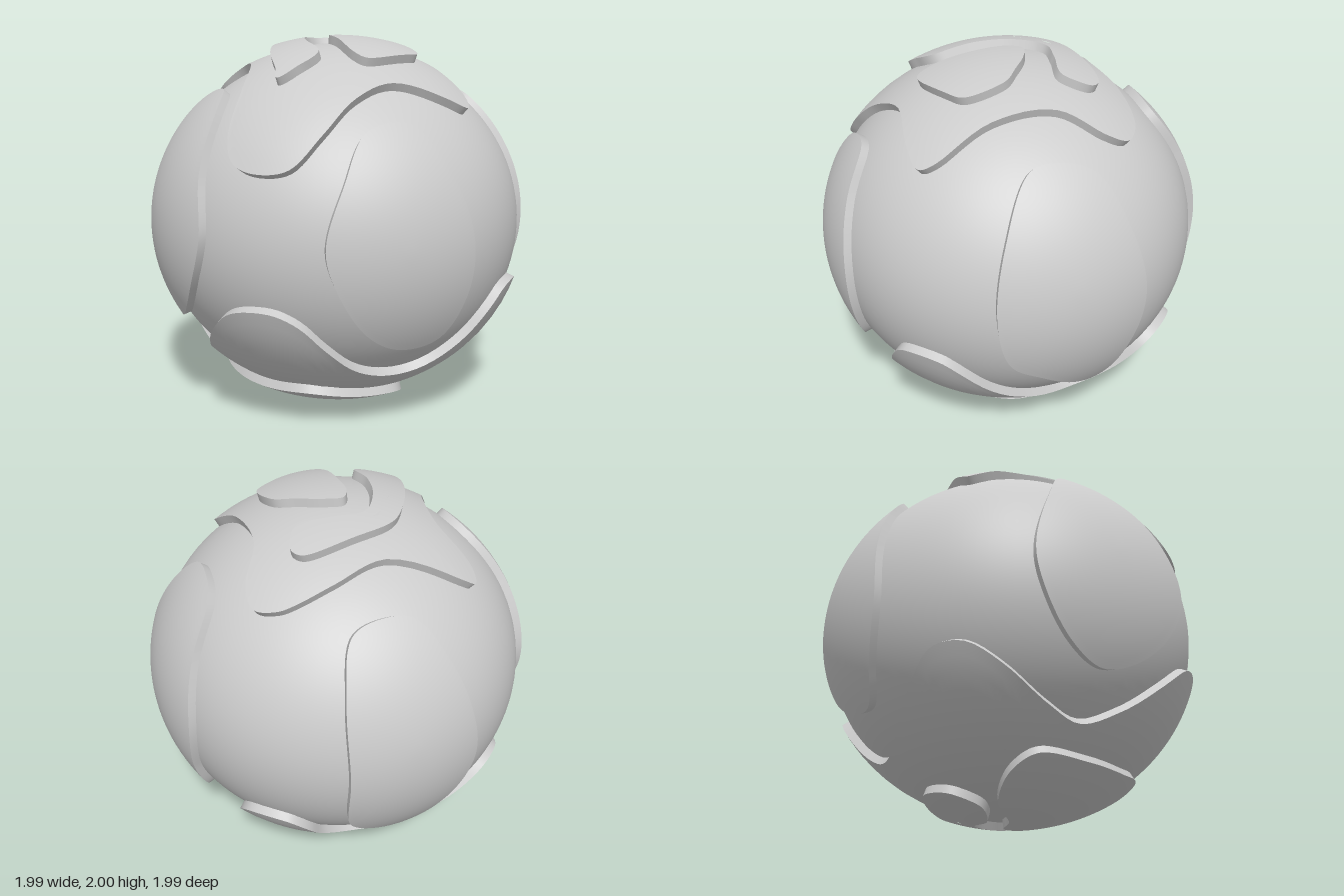
import * as THREE from 'three';
import { mergeGeometries, mergeVertices } from 'three/addons/utils/BufferGeometryUtils.js';

const material = new THREE.MeshStandardMaterial({ color: 0xcccccc });
const V = (x, y, z) => new THREE.Vector3(x, y, z);

// slightly flattened ball: radius along a unit direction
const radius = (d) => 0.99 - 0.08 * d.y * d.y;
const onBall = (d, lift) => d.clone().multiplyScalar(radius(d) + lift);

// unit directions from (azimuth in degrees from +z towards +x, height above the ground)
const polar = (list) => list.map(([a, h]) => {
  const t = THREE.MathUtils.degToRad(a), y = h - 1, c = Math.sqrt(1 - y * y);
  return V(Math.sin(t) * c, y, Math.cos(t) * c);
});
// unit directions from a plan outline (x, z), on the upper or lower half
const plan = (list, side) => list.map(([x, z]) => V(x, side * Math.sqrt(1 - x * x - z * z), z));

function gridGeometry(rows) {
  // rows of closed loops, joined by quads
  const n = rows[0].length, pos = [], index = [];
  rows.forEach((row) => row.forEach((p) => pos.push(p.x, p.y, p.z)));
  for (let j = 0; j + 1 < rows.length; j++) {
    for (let i = 0; i < n; i++) {
      const k = (i + 1) % n, a = j * n + i, b = j * n + k;
      index.push(a, a + n, b + n, a, b + n, b);
    }
  }
  const g = new THREE.BufferGeometry();
  g.setAttribute('position', new THREE.Float32BufferAttribute(pos, 3));
  g.setIndex(index);
  const merged = mergeVertices(g, 1e-5);
  merged.computeVertexNormals();
  return merged;
}

function nearestOn(spine, p) {
  let best = spine[0];
  for (let i = 0; i + 1 < spine.length; i++) {
    const q = new THREE.Line3(spine[i], spine[i + 1]).closestPointToPoint(p, true, V(0, 0, 0));
    if (i === 0 || q.distanceTo(p) < best.distanceTo(p)) best = q;
  }
  return best;
}

// raised plate: outline filled from its spine, with steep side walls
function plate(name, outline, spine, low, high) {
  const N = 144, M = 14;
  const curve = new THREE.CatmullRomCurve3(outline, true, 'centripetal');
  let edge = [];
  for (let i = 0; i < N; i++) edge.push(curve.getPoint(i / N).normalize());
  const turn = V(0, 0, 0);
  edge.forEach((p, i) => turn.add(p.clone().cross(edge[(i + 1) % N])));
  if (turn.dot(spine[0]) < 0) edge.reverse();

  const roots = edge.map((p) => nearestOn(spine, p));
  const rim = edge.map((p, i) => p.clone().add(roots[i].clone().sub(p).setLength(0.012)).normalize());
  const rows = [];
  for (let j = 0; j <= M; j++) {
    rows.push(rim.map((p, i) => onBall(roots[i].clone().lerp(p, j / M).normalize(), high)));
  }
  const wall = [rows[M], edge.map((p) => onBall(p, low))];
  const mesh = new THREE.Mesh(mergeGeometries([gridGeometry(rows), gridGeometry(wall)]), material);
  mesh.name = name;
  return mesh;
}

export function createModel() {
  const group = new THREE.Group();
  group.name = 'platedBall';

  // core ball
  let ball = new THREE.SphereGeometry(1, 96, 64);
  ball.deleteAttribute('uv');
  ball.deleteAttribute('normal');
  const p = ball.attributes.position;
  for (let i = 0; i < p.count; i++) {
    const d = onBall(V(0, 0, 0).fromBufferAttribute(p, i).normalize(), 0);
    p.setXYZ(i, d.x, d.y, d.z);
  }
  ball = mergeVertices(ball, 1e-5);
  ball.computeVertexNormals();
  const core = new THREE.Mesh(ball, material);
  core.name = 'core';
  group.add(core);

  // four-lobed caps
  const topCap = plan([
    [0.10, -0.72], [-0.02, -0.71], [-0.10, -0.665], [-0.235, -0.53], [-0.40, -0.29], [-0.72, -0.06],
    [-0.76, 0], [-0.72, 0.07], [-0.50, 0.18], [-0.34, 0.39], [-0.235, 0.64], [-0.17, 0.85],
    [-0.10, 0.91], [0.03, 0.93], [0.19, 0.9], [0.30, 0.78], [0.38, 0.59], [0.49, 0.38],
    [0.70, 0.18], [0.77, 0.07], [0.74, -0.01], [0.51, -0.18], [0.27, -0.42], [0.19, -0.64]], 1);
  const bottomCap = polar([
    [-8, 0.7], [-1, 0.74], [8, 0.74], [15, 0.68], [22, 0.55], [33, 0.39], [46, 0.33], [60, 0.35],
    [72, 0.48], [80, 0.65], [86, 0.75], [98, 0.75], [104, 0.68], [115, 0.48], [130, 0.33], [150, 0.27],
    [162, 0.36], [171, 0.55], [177, 0.61], [189, 0.61], [195, 0.52], [200, 0.36], [209, 0.28], [223, 0.27],
    [240, 0.34], [255, 0.5], [264, 0.62], [274, 0.63], [285, 0.53], [300, 0.38], [314, 0.32], [328, 0.4],
    [342, 0.57]]);
  group.add(plate('topCap', topCap, [V(0, 1, 0)], -0.02, 0.045));
  group.add(plate('bottomCap', bottomCap, [V(0, -1, 0)], -0.02, 0.045));

  // four leaf-shaped side plates
  const leaves = {
    frontRightLeaf: [[-37, 1.75], [-51, 1.7], [-61, 1.45], [-67, 1.05], [-64, 0.82], [-56, 0.62],
      [-45, 0.53], [-33.5, 0.58], [-21, 0.77], [-14, 1.05], [-18, 1.35], [-26, 1.65]],
    frontLeftLeaf: [[22, 1.05], [27, 1.35], [35, 1.58], [51, 1.61], [60, 1.4], [66, 1.05],
      [65, 0.75], [59, 0.54], [46, 0.51], [35, 0.6], [26, 0.82]],
    backLeftLeaf: [[126, 1.69], [117, 1.4], [115, 1.05], [119, 0.75], [128, 0.64], [150, 0.47],
      [157, 0.75], [160, 1.05], [157, 1.4], [151, 1.65], [138, 1.71]],
    backRightLeaf: [[225, 1.71], [210, 1.66], [207, 1.4], [208, 1.0], [209, 0.6], [217, 0.49],
      [232, 0.45], [241, 0.6], [248, 0.91], [246, 1.25], [242, 1.49], [235, 1.68]],
  };
  for (const [name, list] of Object.entries(leaves)) {
    const outline = polar(list);
    const centre = outline.reduce((s, q) => s.add(q), V(0, 0, 0)).normalize();
    group.add(plate(name, outline, [centre], -0.02, 0.04));
  }

  // small plates on the top cap
  const diamond = [[-0.065, -0.05], [0.03, -0.11], [0.165, -0.14], [0.3, -0.145], [0.46, -0.01],
    [0.45, 0.11], [0.33, 0.35], [0.245, 0.335], [0.06, 0.16], [-0.05, 0.03]];
  const arc = [[-0.05, -0.48], [0.03, -0.465], [0.075, -0.32], [-0.06, -0.21], [-0.18, -0.1],
    [-0.155, 0.06], [-0.05, 0.235], [0.095, 0.39], [0.06, 0.535], [-0.02, 0.63], [-0.075, 0.56],
    [-0.21, 0.38], [-0.315, 0.14], [-0.345, -0.08], [-0.235, -0.29]];
  const arcSpine = [[0, -0.39], [-0.14, -0.25], [-0.26, -0.09], [-0.235, 0.1], [-0.13, 0.31], [0, 0.52]];
  group.add(plate('topDiamond', plan(diamond, 1), plan([[0.2, 0.03]], 1), 0.02, 0.09));
  group.add(plate('topArc', plan(arc, 1), plan(arcSpine, 1), 0.02, 0.09));

  // small plates under the bottom cap
  const wide = [[0.48, 0.25], [0.43, 0.1], [0.13, -0.08], [-0.05, 0], [-0.3, 0.02], [-0.5, 0.15],
    [-0.54, 0.3], [-0.35, 0.5], [-0.1, 0.61], [0.14, 0.63], [0.38, 0.43]];
  const hook = [[0.48, -0.16], [0.45, -0.06], [0.25, -0.14], [0.06, -0.2], [-0.06, -0.09],
    [-0.27, -0.06], [-0.38, -0.2], [-0.31, -0.36], [0.03, -0.41], [0.31, -0.38], [0.44, -0.28]];
  group.add(plate('bottomWidePlate', plan(wide, -1), plan([[-0.15, 0.27], [0.18, 0.25]], -1), 0.02, 0.09));
  group.add(plate('bottomHookPlate', plan(hook, -1),
    plan([[0.39, -0.18], [0.2, -0.26], [0.02, -0.29], [-0.24, -0.22]], -1), 0.02, 0.09));

  for (const part of group.children) part.position.y = 1;
  return group;
}
